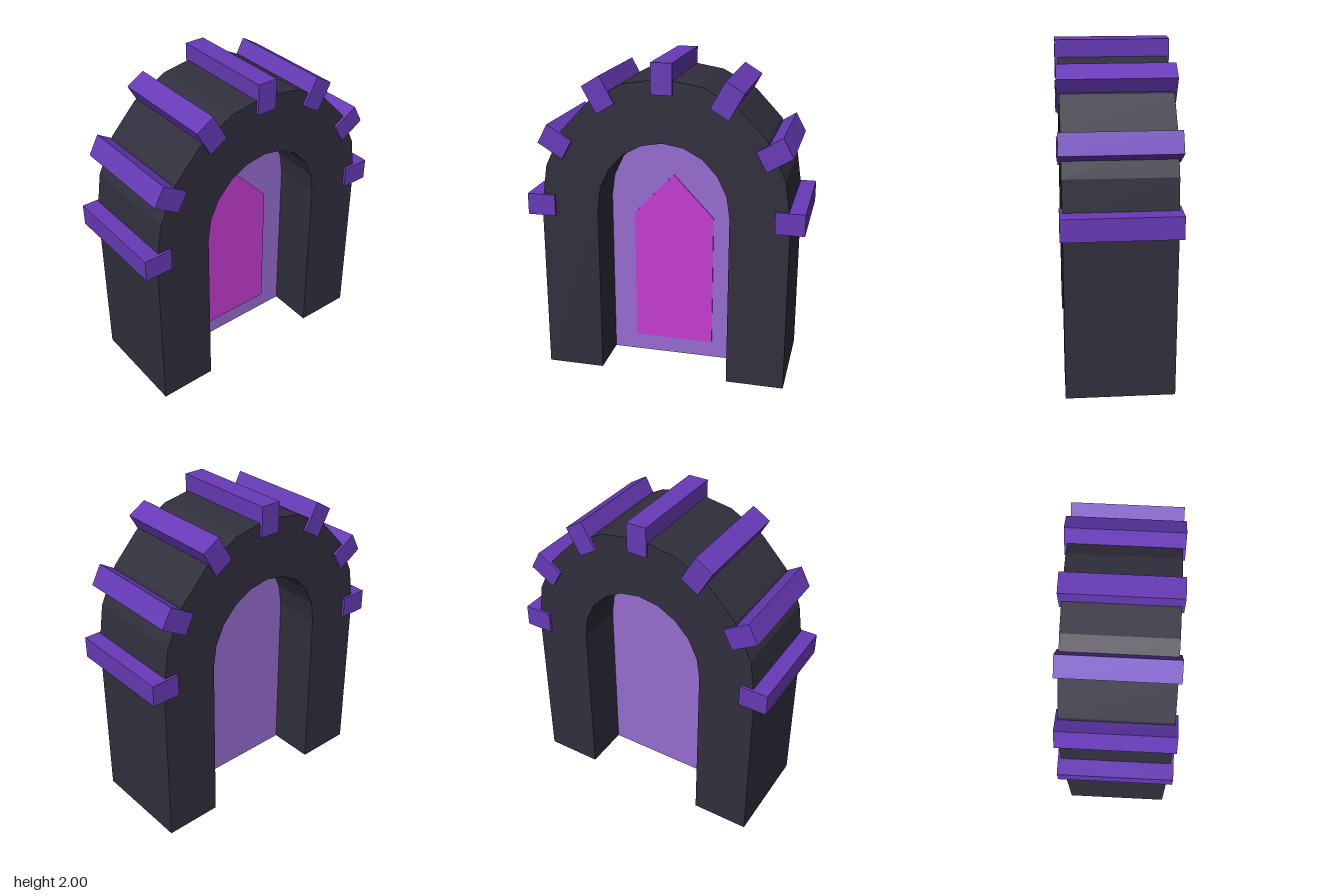
import * as THREE from 'three';

const SPRING = 1.092;  // height where the arch begins to curve
const STRETCH = 1.058; // the curve is slightly taller than a semicircle
const SEGMENTS = 10;

// Points along the arch curve, from right foot of the curve (+x) to the left one
function archCurve(radius) {
  const points = [];
  for (let i = 0; i <= SEGMENTS; i++) {
    const a = (i / SEGMENTS) * Math.PI;
    points.push(new THREE.Vector2(Math.cos(a) * radius, SPRING + Math.sin(a) * radius * STRETCH));
  }
  return points;
}

// Outline of a round-topped door standing on the ground
function doorOutline(radius) {
  return [new THREE.Vector2(radius, 0), ...archCurve(radius), new THREE.Vector2(-radius, 0)];
}

// Extrusion of an outline, from z = back to z = back + depth
function slab(name, points, depth, back, material) {
  const geometry = new THREE.ExtrudeGeometry(new THREE.Shape(points), { depth, bevelEnabled: false });
  geometry.translate(0, 0, back);
  const mesh = new THREE.Mesh(geometry, material);
  mesh.name = name;
  return mesh;
}

export function createModel() {
  const darkStone = new THREE.MeshStandardMaterial({ color: 0x302f3d });
  const purpleStone = new THREE.MeshStandardMaterial({ color: 0x673ab7 });
  const lilac = new THREE.MeshStandardMaterial({ color: 0x966cd0 });
  const magenta = new THREE.MeshStandardMaterial({ color: 0xc43cd0 });
  darkStone.name = 'dark stone';
  purpleStone.name = 'purple stone';
  lilac.name = 'lilac';
  magenta.name = 'magenta';

  const model = new THREE.Group();
  model.name = 'archway';

  // Arch: outer outline, then back along the inner one
  const outer = 0.768, inner = 0.408;
  model.add(slab('arch', [...doorOutline(outer), ...doorOutline(inner).reverse()], 0.65, -0.325, darkStone));

  // Panel filling the opening
  model.add(slab('panel', doorOutline(inner), 0.06, -0.03, lilac));

  // Pointed inlay on the front of the panel
  const inlay = [[-0.257, 0.11], [0.257, 0.11], [0.257, 0.98], [0, 1.25], [-0.257, 0.98]];
  model.add(slab('pointedInlay', inlay.map(([x, y]) => new THREE.Vector2(x, y)), 0.008, 0.03, magenta));

  // Seven stones fanned around the curve
  const stones = new THREE.Group();
  stones.name = 'archStones';
  stones.position.y = SPRING;
  stones.scale.y = STRETCH;
  const stoneGeometry = new THREE.BoxGeometry(0.176, 0.127, 0.684);
  for (let i = 0; i < 7; i++) {
    const a = (i / 6) * Math.PI;
    const stone = new THREE.Mesh(stoneGeometry, purpleStone);
    stone.name = 'archStone' + (i + 1);
    stone.position.set(Math.cos(a) * outer, Math.sin(a) * outer, 0);
    stone.rotation.z = a;
    stones.add(stone);
  }
  model.add(stones);

  return model;
}
